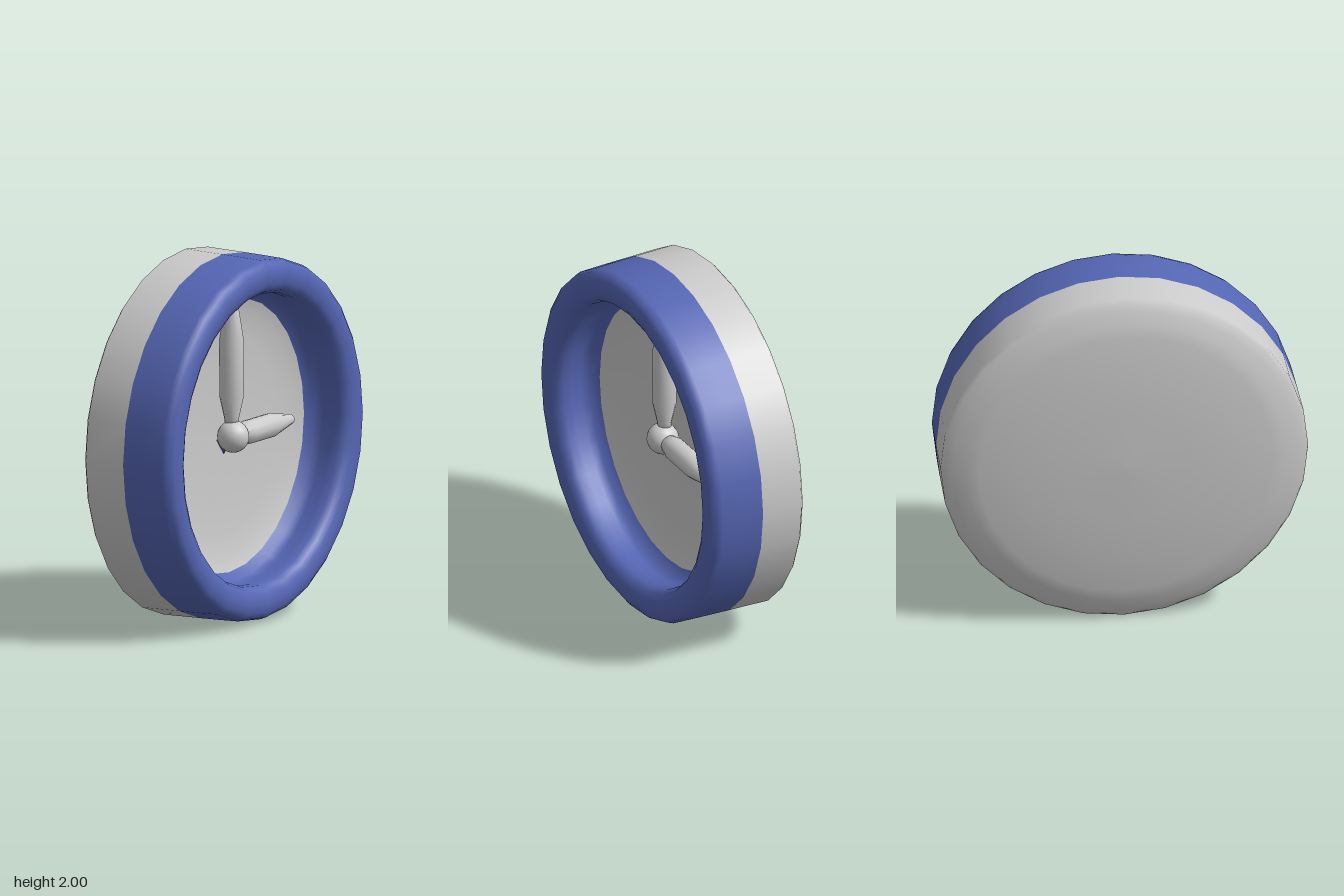
import * as THREE from 'three';

const SIDES = 28;
const grey = new THREE.MeshStandardMaterial({ color: 0xcccccc });
const blue = new THREE.MeshStandardMaterial({ color: 0x5566b4 });

// Smooth turned part; points are [radius, height]
function turned(name, points, material, sides) {
  const profile = points.map(([r, h]) => new THREE.Vector2(r, h));
  const mesh = new THREE.Mesh(new THREE.LatheGeometry(profile, sides), material);
  mesh.name = name;
  return mesh;
}

export function createModel() {
  const clock = new THREE.Group();
  clock.name = 'clock';
  clock.position.y = 1;

  // Case, rim and dial are turned about the x axis, dial facing +x
  const body = new THREE.Group();
  body.name = 'body';
  body.rotation.z = -Math.PI / 2;
  body.add(
    turned('backCase', [
      [0, -0.335], [0.35, -0.327], [0.6, -0.31], [0.8, -0.285], [0.87, -0.268],
      [0.94, -0.24], [0.98, -0.222], [1, -0.205], [0.995, 0.03],
    ], grey, SIDES),
    turned('rim', [
      [0.995, 0.03], [0.992, 0.15], [0.988, 0.27], [0.975, 0.305], [0.945, 0.327],
      [0.9, 0.332], [0.855, 0.325], [0.82, 0.305], [0.802, 0.27], [0.8, 0.22],
      [0.806, 0.16], [0.795, 0.11], [0.75, 0.075],
    ], blue, SIDES),
    turned('dial', [
      [0.75, 0.075], [0.68, 0.05], [0.55, 0.03], [0.3, 0.015], [0, 0.01],
    ], grey, SIDES),
  );
  clock.add(body);

  // Tapered round hands
  const minuteHand = turned('minuteHand', [
    [0, 0.05], [0.035, 0.05], [0.04, 0.1], [0.066, 0.22], [0.066, 0.53],
    [0.028, 0.775], [0, 0.78],
  ], grey, 12);
  minuteHand.position.x = 0.09;

  const hourHand = turned('hourHand', [
    [0, 0.05], [0.045, 0.05], [0.066, 0.14], [0.066, 0.37], [0.027, 0.575], [0, 0.58],
  ], grey, 12);
  hourHand.position.x = 0.1;
  hourHand.rotation.x = -Math.PI / 2;

  // Hub with a small pointer behind it
  const hub = new THREE.Mesh(new THREE.SphereGeometry(0.088, 16, 12), grey);
  hub.name = 'hub';
  hub.position.x = 0.1;

  const pointer = new THREE.Mesh(new THREE.ConeGeometry(0.04, 0.08, 8), blue);
  pointer.name = 'smallPointer';
  pointer.rotation.x = Math.PI;
  pointer.position.set(0.04, -0.065, 0);

  clock.add(minuteHand, hourHand, hub, pointer);

  const model = new THREE.Group();
  model.name = 'wallClock';
  model.add(clock);
  return model;
}
